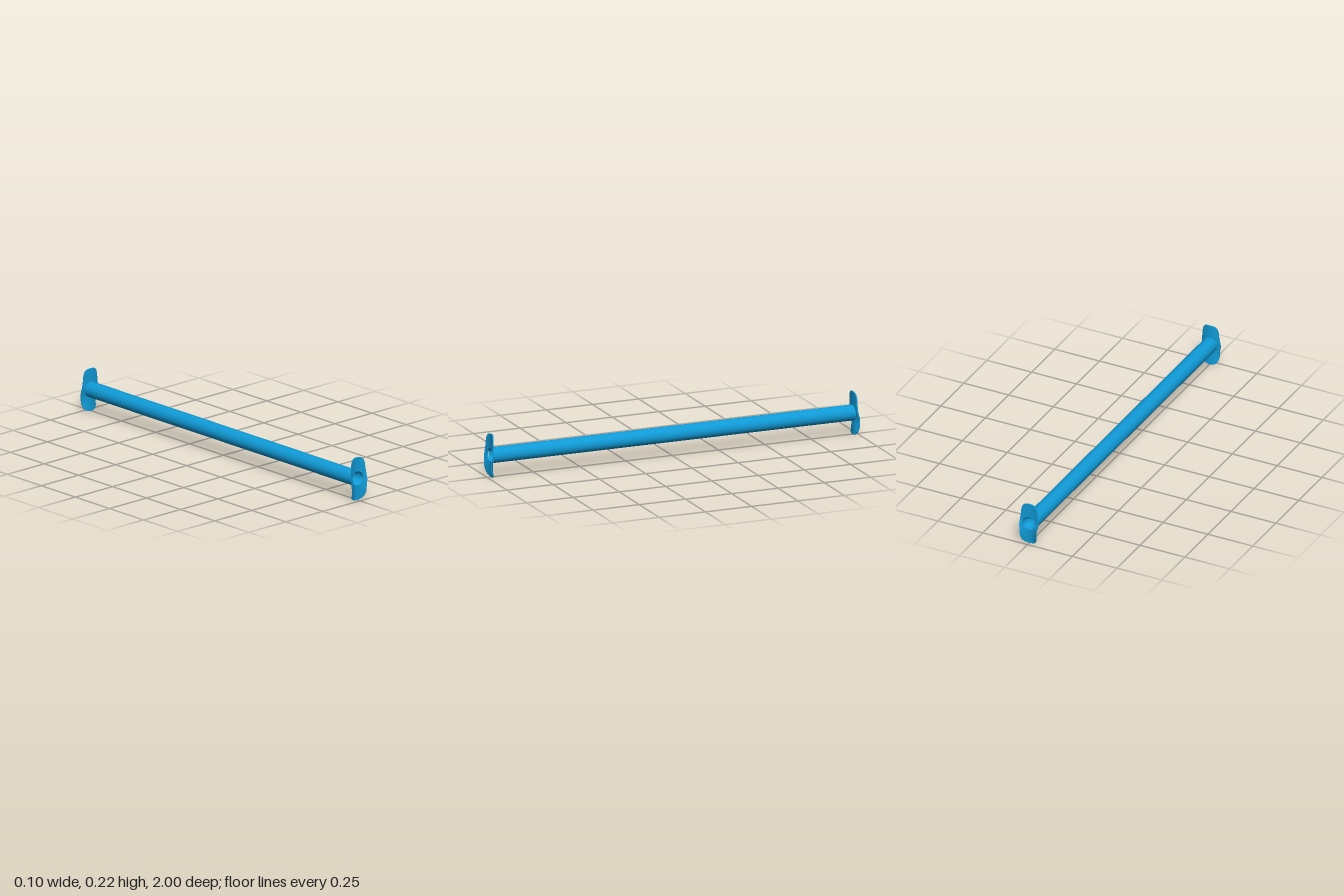
import * as THREE from 'three';
import { toCreasedNormals } from 'three/addons/utils/BufferGeometryUtils.js';

const AXIS_Y = 0.112, TUBE_R = 0.04, BORE_R = 0.036, THICK = 0.006;

// Half outline of the flange, top to bottom: [half width, height]
const HALF = [
  [0.02, 0.219], [0.034, 0.211], [0.042, 0.193], [0.046, 0.16], [0.051, 0.125],
  [0.052, 0.105], [0.047, 0.075], [0.044, 0.035], [0.036, 0.012], [0.018, 0.002],
];

// Saddle plate: edges sweep outward, more strongly on the lower lobe
function saddleZ(x, y, upperLift) {
  const low = 1 - THREE.MathUtils.smoothstep(y, 0.06, 0.13);
  const fade = THREE.MathUtils.smoothstep(y, -0.01, 0.05);
  const lift = THREE.MathUtils.lerp(upperLift, 0.009 + 0.012 * fade, low);
  return 0.973 + lift * (x / 0.048) ** 2 * (x > 0 ? 1.05 : 0.9);
}

function flangeGeometry(upperLift) {
  const pts = [...HALF.map(([x, y]) => new THREE.Vector3(x, y, 0)),
    ...HALF.slice().reverse().map(([x, y]) => new THREE.Vector3(-x, y, 0))];
  const outline = new THREE.CatmullRomCurve3(pts, true, 'centripetal').getSpacedPoints(96);
  const steps = 8, ring = 2 * (steps + 1);
  const pos = [], index = [];
  outline.forEach((p, i) => {
    const angle = Math.atan2(p.y - AXIS_Y, p.x);
    const ix = BORE_R * Math.cos(angle), iy = AXIS_Y + BORE_R * Math.sin(angle);
    // Closed cross-section: out along the face, back along the rear
    for (let j = 0; j < ring; j++) {
      const front = j <= steps;
      const t = (front ? j : ring - 1 - j) / steps;
      const x = ix + (p.x - ix) * t, y = iy + (p.y - iy) * t;
      pos.push(x, y, saddleZ(x, y, upperLift) + (front ? THICK : 0));
      if (i < outline.length - 1) {
        const a = i * ring + j, b = i * ring + (j + 1) % ring;
        index.push(a, a + ring, b, b, a + ring, b + ring);
      }
    }
  });
  const g = new THREE.BufferGeometry();
  g.setAttribute('position', new THREE.Float32BufferAttribute(pos, 3));
  g.setIndex(index);
  return toCreasedNormals(g, 0.8);
}

export function createModel() {
  const model = new THREE.Group();
  model.name = 'flangedStrut';
  const mat = new THREE.MeshStandardMaterial({ color: 0x109ad6, side: THREE.DoubleSide });
  const add = (parent, name, geometry) => {
    const mesh = new THREE.Mesh(geometry, mat);
    mesh.name = name;
    parent.add(mesh);
    return mesh;
  };

  // Long round tube
  const tube = add(model, 'tube', new THREE.CylinderGeometry(TUBE_R, TUBE_R, 1.952, 64, 1, true));
  tube.rotation.x = Math.PI / 2;
  tube.position.y = AXIS_Y;

  // Dished recess closing each end of the bore
  const dish = [[0, -0.038], [0.012, -0.034], [0.024, -0.025], [0.032, -0.013], [BORE_R, 0]]
    .map(([r, h]) => new THREE.Vector2(r, h));
  const dishGeometry = new THREE.LatheGeometry(new THREE.SplineCurve(dish).getPoints(16), 64);

  [['frontEnd', 0, 0.012], ['backEnd', Math.PI, 0.005]].forEach(([name, turn, upperLift]) => {
    const end = new THREE.Group();
    end.name = name;
    end.rotation.y = turn;
    add(end, 'saddleFlange', flangeGeometry(upperLift));
    const recess = add(end, 'boreRecess', dishGeometry);
    recess.rotation.x = Math.PI / 2;
    recess.position.set(0, AXIS_Y, 0.977);
    model.add(end);
  });
  return model;
}
